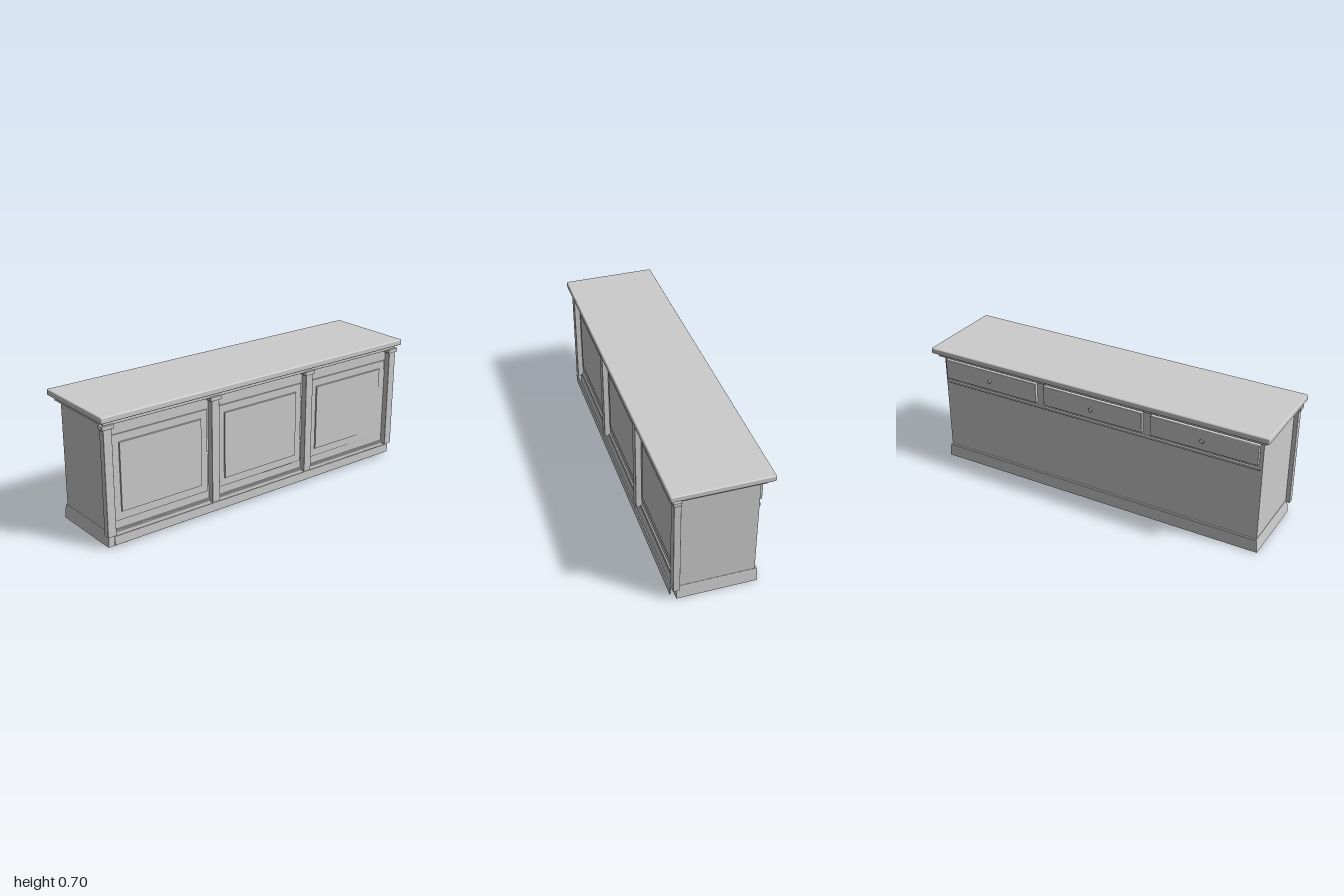
import * as THREE from 'three';
import { RoundedBoxGeometry } from 'three/addons/geometries/RoundedBoxGeometry.js';

export function createModel() {
  const model = new THREE.Group();
  model.name = 'sideboard';
  const grey = new THREE.MeshStandardMaterial({ color: 0xcccccc });
  grey.name = 'plain grey';

  const add = (name, geometry, x = 0, y = 0, z = 0) => {
    const mesh = new THREE.Mesh(geometry, grey);
    mesh.name = name;
    mesh.position.set(x, y, z);
    model.add(mesh);
    return mesh;
  };

  // Box given by its x centre, width, and its y and z limits; r rounds the edges
  const block = (name, x, w, y0, y1, z0, z1, r = 0) => {
    const h = y1 - y0, d = z1 - z0;
    const geometry = r ? new RoundedBoxGeometry(w, h, d, 3, r) : new THREE.BoxGeometry(w, h, d);
    return add(name, geometry, x, (y0 + y1) / 2, (z0 + z1) / 2);
  };

  // Box whose face towards +z is drawn in by a slope
  const raisedPanel = (w, h, d, slope) => {
    const geometry = new THREE.BoxGeometry(w, h, d);
    const p = geometry.attributes.position;
    for (let i = 0; i < p.count; i++) {
      if (p.getZ(i) > 0) {
        p.setX(i, p.getX(i) - Math.sign(p.getX(i)) * slope);
        p.setY(i, p.getY(i) - Math.sign(p.getY(i)) * slope);
      }
    }
    geometry.computeVertexNormals();
    return geometry;
  };

  // Carcass and worktop
  block('worktop', 0, 2, 0.67, 0.703, -0.258, 0.258, 0.007);
  block('cornice', 0, 1.95, 0.645, 0.672, -0.228, 0.229, 0.002);
  block('carcass', 0, 1.91, 0.07, 0.65, -0.2, 0.2);

  // Plinth, narrowing upwards, with a small chamfer around its top
  const plinth = new THREE.BoxGeometry(1.934, 0.074, 0.426, 1, 2, 1);
  const p = plinth.attributes.position;
  for (let i = 0; i < p.count; i++) {
    const y = p.getY(i);
    if (y < -0.01) continue;
    const top = y > 0.01;
    p.setXYZ(i,
      Math.sign(p.getX(i)) * (top ? 0.957 : 0.959),
      top ? 0.037 : 0.033,
      Math.sign(p.getZ(i)) * (top ? 0.208 : 0.211));
  }
  const flatPlinth = plinth.toNonIndexed();
  flatPlinth.computeVertexNormals();
  add('plinth', flatPlinth, 0, 0.037, 0);
  block('frontSkirting', 0, 1.892, 0.017, 0.067, 0.235, 0.242, 0.002);

  // Front pilasters with caps
  for (const x of [-0.954, -0.318, 0.318, 0.954]) {
    block('pilaster', x, 0.048, 0.063, 0.632, 0.198, 0.234, 0.003);
    block('pilasterCap', x, 0.068, 0.628, 0.65, 0.198, 0.24, 0.003);
  }

  for (const side of [-1, 0, 1]) {
    // Front doors with raised centre fields
    const x = side * 0.636;
    block('doorFrame', x, 0.566, 0.125, 0.58, 0.198, 0.206, 0.001);
    add('doorField', raisedPanel(0.49, 0.372, 0.008, 0.003), x, 0.353, 0.208);
    block('doorSill', x, 0.59, 0.07, 0.08, 0.198, 0.208, 0.002);

    // Back drawers with flared knobs
    const drawerX = side * 0.64;
    block('drawerFront', drawerX, 0.592, 0.515, 0.63, -0.22, -0.198, 0.004);
    const profile = [[0, 0], [0.009, 0], [0.007, 0.006], [0.009, 0.011], [0.012, 0.014], [0.011, 0.016], [0, 0.017]];
    const knob = add('drawerKnob',
      new THREE.LatheGeometry(profile.map(([r, y]) => new THREE.Vector2(r, y)), 20),
      drawerX, 0.573, -0.219);
    knob.rotation.x = -Math.PI / 2;
  }
  block('drawerRail', 0, 1.89, 0.484, 0.497, -0.211, -0.198, 0.003);

  return model;
}
